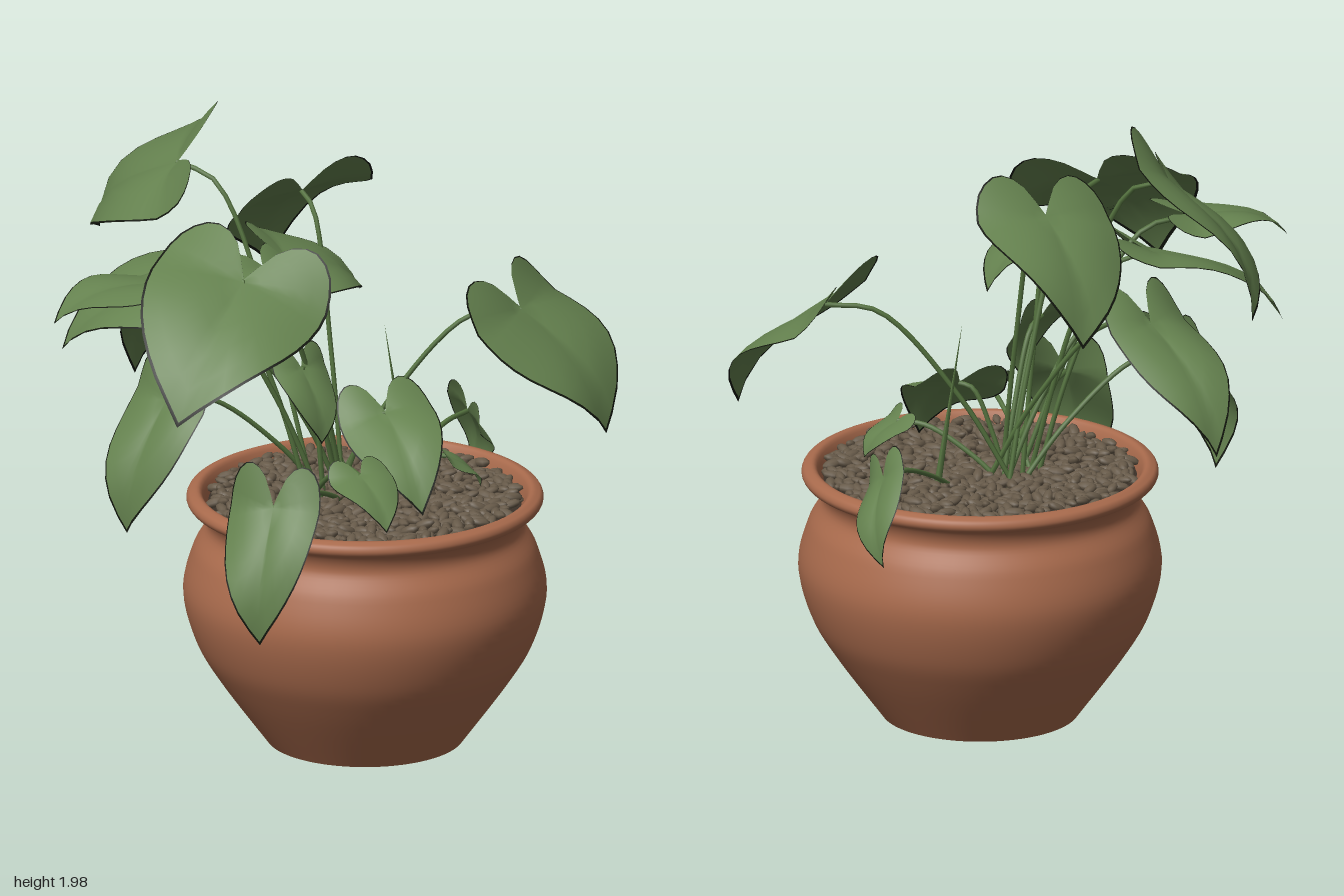
import * as THREE from 'three';
import { mergeGeometries } from 'three/addons/utils/BufferGeometryUtils.js';

const POT = new THREE.Vector3(0.105, 0, 0.22);
const UP = new THREE.Vector3(0, 1, 0);

function makeMaterial(name, color, side = THREE.FrontSide) {
  const material = new THREE.MeshStandardMaterial({ color, side });
  material.name = name;
  return material;
}
const leafMat = makeMaterial('leaf green', 0x65824f, THREE.DoubleSide);
const rimMat = makeMaterial('dark leaf rim', 0x12160d, THREE.DoubleSide);
const stemMat = makeMaterial('stem green', 0x55733f);
const potMat = makeMaterial('terracotta', 0xa86a4c);
const pebbleMat = makeMaterial('pebble brown', 0x675a49);
const soilMat = makeMaterial('dark soil', 0x3a3128);

// Small seeded generator
function seeded(seed) {
  return () => {
    seed = (seed * 16807) % 2147483647;
    return seed / 2147483647;
  };
}

function addMesh(group, name, geometry, material) {
  const mesh = new THREE.Mesh(geometry, material);
  mesh.name = name;
  group.add(mesh);
  return mesh;
}

// Heart outline: u runs from stalk to tip, v across; the half is mirrored
const HALF = new THREE.SplineCurve([
  [-0.02, 0], [-0.25, 0.27], [-0.32, 0.6], [-0.22, 0.88], [0, 1],
  [0.25, 0.97], [0.5, 0.8], [0.76, 0.46], [1, 0],
].map(([u, v]) => new THREE.Vector2(u, v))).getPoints(18);
const OUTLINE = [
  ...HALF,
  ...HALF.slice(1, -1).reverse().map((p) => new THREE.Vector2(p.x, -p.y)),
];
const RINGS = [0.2, 0.4, 0.6, 0.8, 0.975, 1];

// Leaf from stalk to tip, rolled about its midrib, arched and gently waved
function leafGeometry(base, tip, halfWidth, roll, phase) {
  const axis = tip.clone().sub(base);
  const size = axis.length();
  const along = axis.clone().normalize();
  const side = UP.clone().cross(axis).normalize().applyAxisAngle(along, roll);
  const normal = along.clone().cross(side);
  const n = OUTLINE.length;
  const pos = [], index = [];
  const put = (u, v) => {
    const arch = u > 0 ? 0.52 * u * (1 - u) * (0.7 + 0.6 * u) : 0.04 * u;
    const h = size * (arch + 0.1 * Math.abs(v) * (1 - Math.abs(v))
      - 0.05 * v * v + 0.045 * Math.sin(5 * u + phase) * v);
    const p = base.clone().addScaledVector(axis, u)
      .addScaledVector(side, v * halfWidth).addScaledVector(normal, h);
    pos.push(p.x, p.y, p.z);
  };
  put(0, 0);
  RINGS.forEach((s) => OUTLINE.forEach((p) => put(p.x * s, p.y * s)));
  for (let i = 0; i < n; i++) index.push(0, 1 + ((i + 1) % n), 1 + i);
  for (let r = 0; r < RINGS.length - 1; r++) {
    const a = 1 + r * n, b = a + n;
    for (let i = 0; i < n; i++) {
      const j = (i + 1) % n;
      index.push(a + i, b + j, b + i, a + i, a + j, b + j);
    }
  }
  const g = new THREE.BufferGeometry();
  g.setAttribute('position', new THREE.Float32BufferAttribute(pos, 3));
  g.setIndex(index);
  // The outermost ring is the dark rim
  g.addGroup(0, index.length - 6 * n, 0);
  g.addGroup(index.length - 6 * n, 6 * n, 1);
  g.computeVertexNormals();
  return g;
}

// Arching stalk from the soil to the leaf
function stemGeometry(root, end) {
  const at = (across, rise) => {
    const p = root.clone().lerp(end, across);
    p.y = THREE.MathUtils.lerp(root.y, end.y, rise);
    return p;
  };
  const curve = new THREE.CatmullRomCurve3([root, at(0.3, 0.5), at(0.72, 0.96), end]);
  return new THREE.TubeGeometry(curve, 18, 0.008, 6);
}

// name: stalk xyz, tip xyz, half width, roll (level when left out)
const LEAVES = {
  tallBackLeaf: [-0.2, 1.79, -0.33, -0.16, 1.46, -0.76, 0.22, -0.75],
  upperLeftLeaf: [0.11, 1.69, -0.1, 0.22, 1.36, -0.4, 0.23, -0.25],
  backRightLeaf: [-0.3, 1.49, -0.12, -0.63, 1.26, -0.36, 0.22, -0.19],
  lowBackLeaf: [-0.12, 1.35, -0.33, -0.11, 1, -0.65, 0.16],
  hangingFrontLeaf: [-0.45, 0.92, 0.46, -0.55, 0.51, 0.52, 0.15],
  outerRightLeaf: [-0.53, 1.54, -0.04, -0.83, 1.44, -0.15, 0.15],
  largeRightLeaf: [-0.42, 1.6, 0.27, -0.79, 1.24, 0.41, 0.28, -0.27],
  largeLeftLeaf: [0.54, 1.36, 0.45, 0.66, 1, 0.72, 0.28],
  hangingRightLeaf: [-0.44, 1.13, -0.08, -0.58, 0.72, -0.1, 0.15, -0.33],
  crownLeaf: [-0.11, 1.57, 0.1, 0.18, 1.41, 0.1, 0.19, 0.35],
  crownRightLeaf: [-0.2, 1.56, 0.1, -0.17, 1.42, 0.3, 0.14],
  frontLeaf: [0.14, 1.06, 0.28, 0.07, 0.81, 0.55, 0.15, 0.2],
  smallFrontRightLeaf: [-0.12, 0.96, 0.48, -0.16, 0.83, 0.66, 0.1],
  innerLeaf: [-0.13, 1.24, 0.2, -0.13, 1.02, 0.3, 0.1],
  innerBackLeaf: [-0.28, 1.26, 0.02, -0.38, 1.08, 0, 0.08],
  smallFrontLeftLeaf: [0.27, 0.93, 0.42, 0.37, 0.82, 0.46, 0.09],
  hangingLeftLeaf: [0.63, 0.91, 0.07, 0.73, 0.67, -0.05, 0.1, 0.9],
};

function addPot(group) {
  const wall = new THREE.SplineCurve([
    [0.305, 0], [0.45, 0.2], [0.525, 0.33], [0.562, 0.48], [0.533, 0.61], [0.49, 0.69],
    [0.505, 0.745], [0.54, 0.76], [0.552, 0.78], [0.54, 0.8], [0.505, 0.798], [0.475, 0.7],
  ].map(([x, y]) => new THREE.Vector2(x, y))).getPoints(70);
  addMesh(group, 'pot', new THREE.LatheGeometry(wall, 72), potMat).position.copy(POT);

  // Recessed underside
  const foot = [[0, 0.02], [0.28, 0.02], [0.295, 0], [0.305, 0]].map(([x, y]) => new THREE.Vector2(x, y));
  addMesh(group, 'potUnderside', new THREE.LatheGeometry(foot, 72), potMat).position.copy(POT);

  const soil = addMesh(group, 'soil', new THREE.CircleGeometry(0.485, 48), soilMat);
  soil.rotation.x = -Math.PI / 2;
  soil.position.set(POT.x, 0.765, POT.z);
}

// Elongated pebbles spread in a sunflower pattern
function addPebbles(group) {
  const rand = seeded(71);
  const list = [];
  const count = 640;
  for (let i = 0; i < count; i++) {
    const r = 0.475 * Math.sqrt((i + 0.5) / count);
    const a = i * 2.39996;
    const s = 0.8 + 0.4 * rand();
    const g = new THREE.SphereGeometry(s, 8, 5);
    g.scale(0.031, 0.013, 0.016);
    g.rotateZ((rand() - 0.5) * 0.9);
    g.rotateY(rand() * Math.PI * 2);
    g.translate(POT.x + r * Math.cos(a), 0.776 + 0.018 * rand(), POT.z + r * Math.sin(a));
    list.push(g);
  }
  addMesh(group, 'pebbles', mergeGeometries(list), pebbleMat);
}

export function createModel() {
  const group = new THREE.Group();
  group.name = 'pottedPlant';
  addPot(group);
  addPebbles(group);

  // Leaves and their stalks, all rising from one clump
  const rand = seeded(19);
  Object.entries(LEAVES).forEach(([name, values], i) => {
    const base = new THREE.Vector3().fromArray(values);
    const tip = new THREE.Vector3().fromArray(values, 3);
    const [halfWidth, roll = 0] = values.slice(6);
    const root = new THREE.Vector3(
      0.08 + (rand() - 0.5) * 0.14 + base.x * 0.12, 0.75, 0.13 + (rand() - 0.5) * 0.12);
    const plant = new THREE.Group();
    plant.name = name;
    addMesh(plant, 'stem', stemGeometry(root, base), stemMat);
    addMesh(plant, 'blade', leafGeometry(base, tip, halfWidth, roll, i * 1.7), [leafMat, rimMat]);
    group.add(plant);
  });

  // Thin unopened shoot
  const from = new THREE.Vector3(0.3, 0.76, 0.2), to = new THREE.Vector3(0.23, 1.3, 0.16);
  const shoot = addMesh(group, 'shoot', new THREE.ConeGeometry(0.012, from.distanceTo(to), 6), stemMat);
  shoot.position.copy(from).lerp(to, 0.5);
  shoot.quaternion.setFromUnitVectors(UP, to.clone().sub(from).normalize());
  return group;
}
